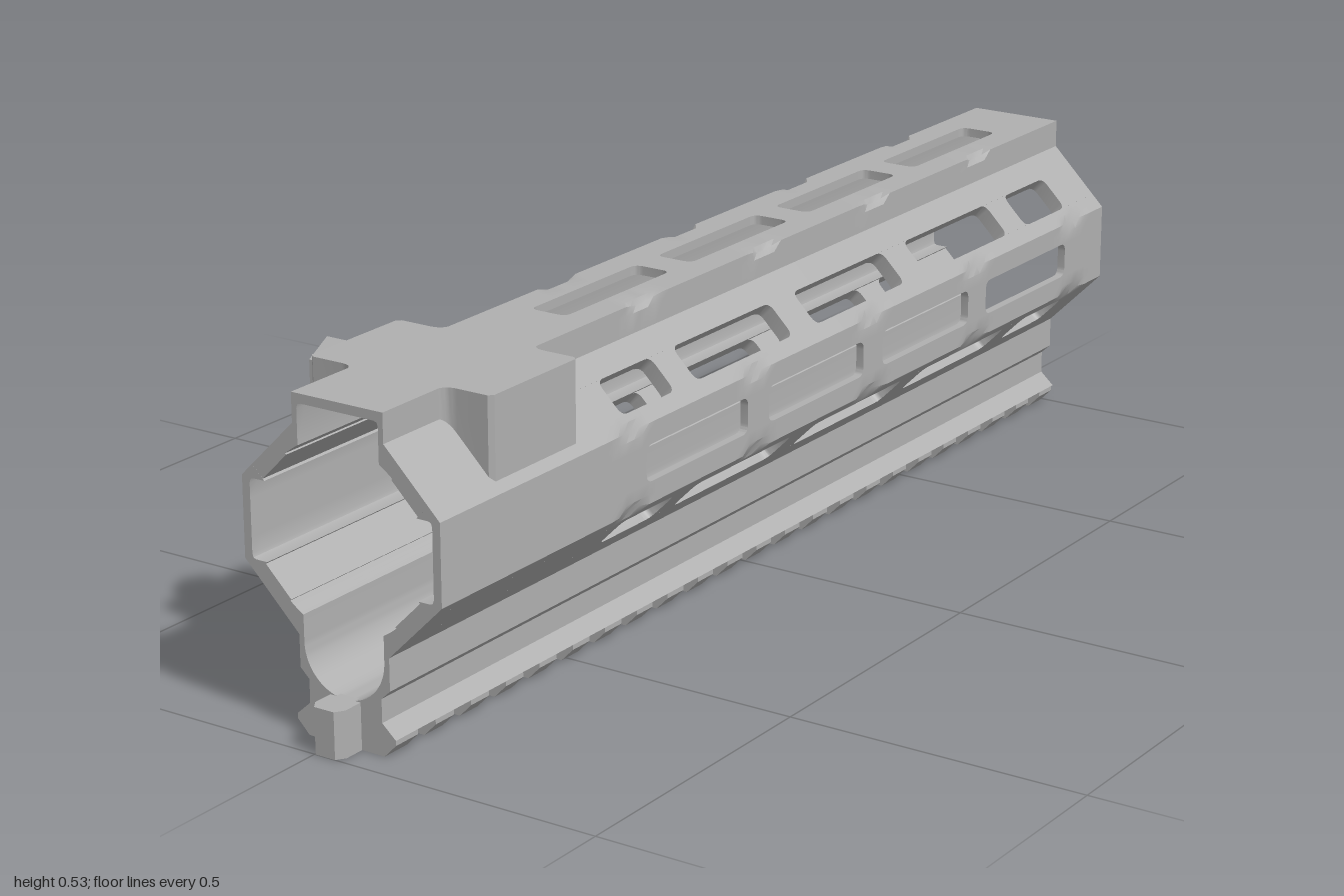
import * as THREE from 'three';
import { toCreasedNormals } from 'three/addons/utils/BufferGeometryUtils.js';

const Z0 = -1, Z1 = 0.95, MID = 0.32; // ends of the tube and height of its axis

const arc = (cy, r, a0, a1, n) => Array.from({ length: n + 1 }, (_, i) => {
  const a = THREE.MathUtils.degToRad(a0 + (a1 - a0) * i / n);
  return [r * Math.cos(a), cy + r * Math.sin(a)];
});
const flipX = pts => pts.map(([x, y]) => [-x, y]);
const flipY = pts => pts.map(([x, y]) => [x, 2 * MID - y]);
const toShape = pts => new THREE.Shape(pts.map(p => new THREE.Vector2(...p)));

export function createModel() {
  const metal = new THREE.MeshStandardMaterial({ color: 0xb0b0b0 });
  metal.name = 'grey metal';
  const model = new THREE.Group();
  model.name = 'railedHandguard';
  model.position.x = 0.02;
  const root = new THREE.Group();
  root.name = 'handguard';
  root.add(model);

  const add = (name, geo) => {
    const mesh = new THREE.Mesh(toCreasedNormals(geo, 0.5), metal);
    mesh.name = name;
    model.add(mesh);
    return mesh;
  };

  // Cross-section run along z
  const run = (pts, z0, z1, steps = 1) =>
    new THREE.ExtrudeGeometry(toShape(pts), { depth: z1 - z0, steps, bevelEnabled: false }).translate(0, 0, z0);

  // Plan shape (across, z) sunk inward from a wall that faces the given angle
  const sink = (geo, angle, x, y) => {
    const a = THREE.MathUtils.degToRad(angle), c = Math.cos(a), s = Math.sin(a);
    const m = new THREE.Matrix4().makeBasis(
      new THREE.Vector3(s, -c, 0), new THREE.Vector3(0, 0, 1), new THREE.Vector3(-c, -s, 0));
    return geo.applyMatrix4(m.setPosition(x, y, 0));
  };

  // Scoop small dents out of one long edge
  const scallop = (geo, [ex, ey], [dx, dy], centres) => {
    const p = geo.attributes.position;
    for (let i = 0; i < p.count; i++) {
      if (Math.hypot(p.getX(i) - ex, p.getY(i) - ey) > 1e-4) continue;
      const d = Math.min(...centres.map(z => Math.abs(z - p.getZ(i)))) / 0.04;
      const k = Math.max(0, 1 - d * d);
      p.setXY(i, ex + dx * k, ey + dy * k);
    }
    return geo;
  };

  // Lower trough with the rail's upper half
  const half = [
    [0.0915, 0.03], [0.067, 0.052], [0.067, 0.09], [0.083, 0.105], [0.083, 0.157], [0.115, 0.189],
    ...arc(MID, 0.15, -49.3, -60.4, 4), ...arc(0.147, 0.074, 0, -90, 14),
  ];
  add('lowerTrough', run([...half, ...flipX(half).reverse().slice(1)], Z0, Z1));

  // Long wall strips between the rows of slots
  const corner = [
    [0.161, 0.235], [0.17, 0.244], [0.181, 0.255], [0.181, 0.27], [0.181, 0.29],
    [0.167, 0.29], [0.167, 0.265], [0.165, 0.259], [0.16, 0.257], [0.139, 0.257],
  ];
  const shoulder = [
    [0.115, 0.451], [0.083, 0.483], [0.083, 0.515], [0.083, 0.53], [0.069, 0.53], [0.033, 0.53],
    [0.033, 0.515], [0.066, 0.515], [0.072, 0.513], [0.074, 0.507], ...arc(MID, 0.15, 60.4, 49.3, 4),
  ];
  const sideDents = [0.475, 0.135, -0.21, -0.55, -0.89];
  const topDents = [0.305, -0.04, -0.38, -0.72];
  for (const s of [1, -1]) {
    const side = pts => (s > 0 ? pts : flipX(pts));
    const name = s > 0 ? 'left' : 'right';
    add(name + 'LowerCorner', scallop(run(side(corner), Z0, Z1, 98), [s * 0.181, 0.255], [-s * 0.007, 0.003], sideDents));
    add(name + 'UpperCorner', scallop(run(side(flipY(corner)), Z0, Z1, 98), [s * 0.181, 0.385], [-s * 0.007, -0.003], sideDents));
    add(name + 'Shoulder', scallop(run(side(shoulder), Z0, Z1, 98), [s * 0.083, 0.53], [-s * 0.009, -0.009], topDents));
  }

  // Bridges between slots, with rounded slot corners
  const mainSlots = [[-0.865, -0.585], [-0.525, -0.245], [-0.185, 0.1], [0.16, 0.44]];
  const diagonalSlots = [[-0.895, -0.755], [-0.69, -0.415], [-0.345, -0.07], [0, 0.275], [0.335, 0.475]];
  const bridges = (name, angle, x, y, w, thick, slots) => {
    const r = 0.015;
    for (let i = 0; i <= slots.length; i++) {
      const a = i ? slots[i - 1][1] : Z0, b = i < slots.length ? slots[i][0] : Z1;
      const ra = i ? r : 0, rb = i < slots.length ? r : 0;
      const s = new THREE.Shape();
      s.moveTo(-w, a - ra);
      s.quadraticCurveTo(-w, a, -w + r, a);
      s.lineTo(w - r, a);
      s.quadraticCurveTo(w, a, w, a - ra);
      s.lineTo(w, b + rb);
      s.quadraticCurveTo(w, b, w - r, b);
      s.lineTo(-w + r, b);
      s.quadraticCurveTo(-w, b, -w, b + rb);
      add(name, sink(new THREE.ExtrudeGeometry(s, { depth: thick, bevelEnabled: false, curveSegments: 5 }), angle, x, y));
    }
  };
  bridges('topBridge', 90, 0, 0.53, 0.033, 0.015, mainSlots);
  bridges('leftBridge', 0, 0.181, MID, 0.03, 0.014, mainSlots);
  bridges('rightBridge', 180, -0.181, MID, 0.03, 0.014, mainSlots);
  for (const angle of [45, 135, 225, 315]) {
    const sx = Math.sign(Math.cos(angle * Math.PI / 180)), sy = angle < 180 ? 1 : -1;
    bridges('diagonalBridge', angle, sx * 0.138, MID + sy * 0.108, 0.0325, 0.027, diagonalSlots);
  }

  // Rail teeth
  const tooth = [[-0.07, 0], [0.07, 0], [0.0915, 0.022], [0.0915, 0.03], [-0.0915, 0.03], [-0.0915, 0.022]];
  for (let i = 0; i < 23; i++) {
    const z = 0.92 - i * 0.086;
    add('railTooth', run(tooth, z - 0.022, i ? z + 0.022 : Z1));
  }

  // Locating tab at the front
  const tab = toShape([[-0.028, 0.94], [0.028, 0.94], [0.028, 0.985], [0.018, 1], [-0.018, 1], [-0.028, 0.985]]);
  add('frontTab', sink(new THREE.ExtrudeGeometry(tab, { depth: 0.075, bevelEnabled: false }), 90, 0, 0.075));

  // Clamp lugs, resting on the sloping upper walls
  for (const s of [1, -1]) {
    const p = new THREE.Shape();
    p.moveTo(s * 0.081, 0.573);
    p.quadraticCurveTo(s * 0.083, 0.595, s * 0.105, 0.595);
    p.lineTo(s * 0.16, 0.595);
    p.lineTo(s * 0.167, 0.602);
    p.lineTo(s * 0.167, 0.8);
    p.lineTo(s * 0.16, 0.807);
    p.lineTo(s * 0.105, 0.807);
    p.quadraticCurveTo(s * 0.083, 0.807, s * 0.081, 0.829);
    const geo = new THREE.ExtrudeGeometry(p, { depth: 0.1, bevelEnabled: false, curveSegments: 6 });
    const pos = geo.attributes.position;
    for (let i = 0; i < pos.count; i++)
      if (pos.getZ(i) > 0.01) pos.setZ(i, Math.abs(pos.getX(i)) - 0.028);
    add(s > 0 ? 'leftClampLug' : 'rightClampLug', sink(geo, 90, 0, 0.53));
  }

  // Cross bolt: hex head with socket, collar and shank
  const hex = r => Array.from({ length: 6 }, (_, i) => [r * Math.cos(i * Math.PI / 3), r * Math.sin(i * Math.PI / 3)]);
  const head = toShape(hex(0.05));
  head.holes.push(toShape(hex(0.024)));
  add('boltHead', sink(new THREE.ExtrudeGeometry(head, { depth: 0.036, bevelEnabled: false }), 180, -0.22, 0.472)
    .translate(0, 0, 0.7));
  const rod = (name, r, x0, x1) => add(name, new THREE.CylinderGeometry(r, r, x1 - x0, 24)
    .rotateZ(Math.PI / 2).translate((x0 + x1) / 2, 0.472, 0.7));
  rod('boltCollar', 0.042, -0.184, -0.16);
  rod('boltShank', 0.023, -0.1, 0.1);

  return root;
}
